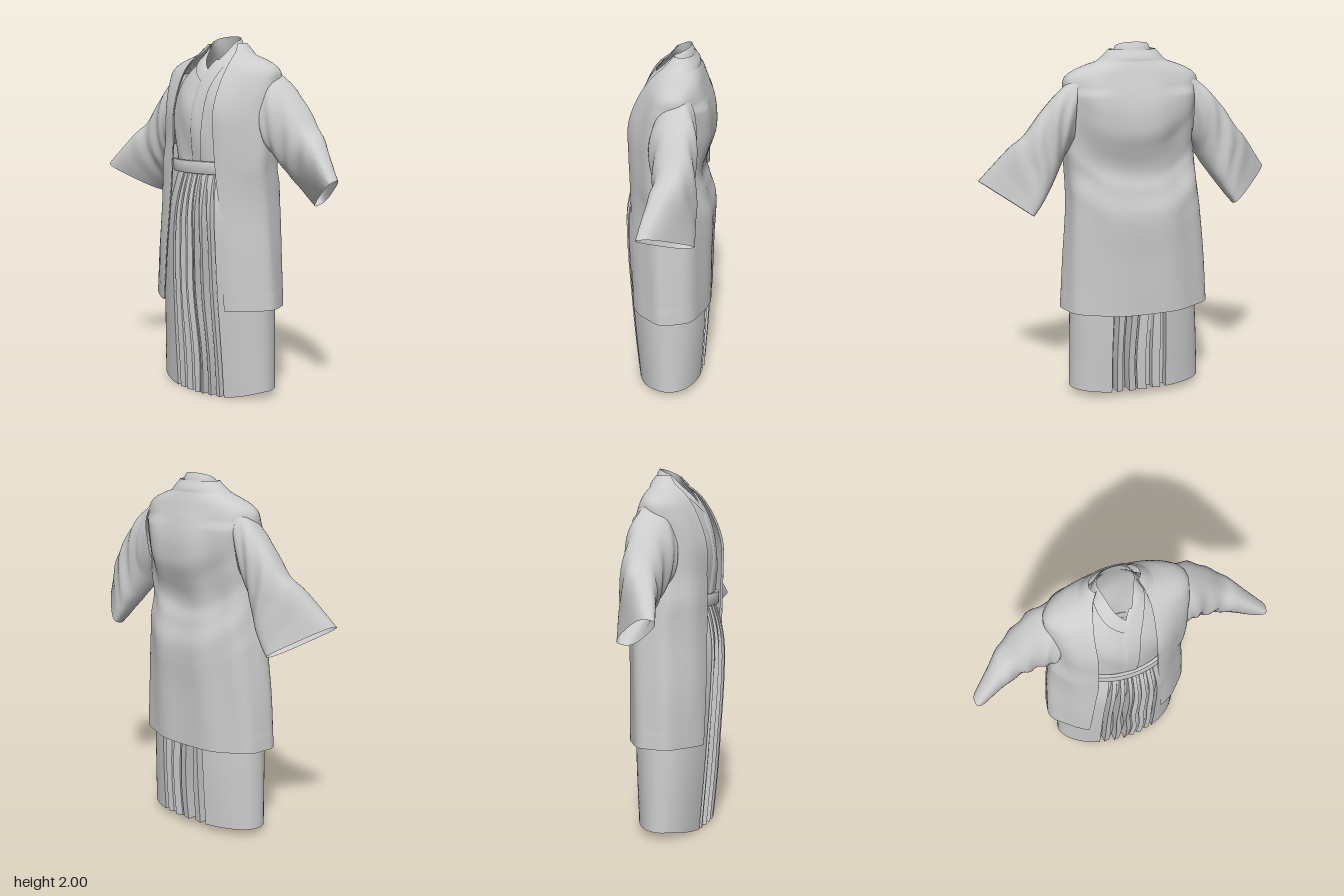
import * as THREE from 'three';
import { toCreasedNormals } from 'three/addons/utils/BufferGeometryUtils.js';

const { sin, cos, abs, sign, pow, min, max, PI, asin } = Math;
const lerp = THREE.MathUtils.lerp;
const smooth = THREE.MathUtils.smoothstep;
const power = (x, e) => sign(x) * pow(abs(x), e);

// smooth lookup in a table of rows [position, value, value, ...]
function table(rows) {
  const n = rows[0].length - 1;
  const curve = new THREE.CubicInterpolant(rows.map(r => r[0]), rows.flatMap(r => r.slice(1)), n);
  return t => Array.from(curve.evaluate(t));
}

// cloth sheet from a rule f(u, v) -> [x, y, z], u and v in 0..1
function sheet(name, nu, nv, f, crease = 0.7) {
  const pos = [], index = [];
  for (let j = 0; j <= nv; j++) for (let i = 0; i <= nu; i++) pos.push(...f(i / nu, j / nv));
  for (let j = 0; j < nv; j++) for (let i = 0; i < nu; i++) {
    const a = j * (nu + 1) + i, b = a + nu + 1;
    index.push(a, a + 1, b + 1, a, b + 1, b);
  }
  const g = new THREE.BufferGeometry();
  g.setAttribute('position', new THREE.Float32BufferAttribute(pos, 3));
  g.setIndex(index);
  const mesh = new THREE.Mesh(toCreasedNormals(g, crease),
    new THREE.MeshStandardMaterial({ color: 0xcccccc, side: THREE.DoubleSide }));
  mesh.name = name;
  return mesh;
}

// point on a squared ellipse; angle 0 is the front, PI/2 is +x
function oval(cx, a, zf, zb, n, t) {
  return [cx + a * power(sin(t), 2 / n), (zf + zb) / 2 + (zf - zb) / 2 * power(cos(t), 2 / n)];
}

// ---- coat: y, centre x, half width, front z, back z, right edge x, left edge x
const COAT_FRONT = 1.85, COAT_BACK = 2.3;
const coat = table([
  [0.5, -0.03, 0.43, 0.237, -0.24, -0.25, 0.2],
  [0.8, -0.03, 0.412, 0.24, -0.243, -0.225, 0.188],
  [1.08, -0.025, 0.388, 0.237, -0.245, -0.199, 0.17],
  [1.2, -0.02, 0.381, 0.234, -0.215, -0.187, 0.155],
  [1.28, -0.015, 0.378, 0.232, -0.185, -0.183, 0.148],
  [1.42, 0, 0.374, 0.234, -0.218, -0.178, 0.14],
  [1.6, 0, 0.374, 0.23, -0.244, -0.175, 0.135],
  [1.75, 0, 0.38, 0.17, -0.212, -0.172, 0.138],
  [1.82, 0, 0.365, 0.125, -0.187, -0.165, 0.14],
  [1.865, 0, 0.29, 0.092, -0.172, -0.154, 0.138],
  [1.9, 0, 0.188, 0.064, -0.155, -0.14, 0.13],
  [1.96, 0, 0.13, 0.01, -0.128, -0.108, 0.106]]);

function coatAngles(y) {
  const [cx, a, , , xr, xl] = coat(y);
  const angle = x => asin(pow(min(0.99, abs(x - cx) / a), COAT_FRONT / 2));
  return [angle(xl), 2 * PI - angle(xr)];
}

function coatPoint(y, t, off = 0) {
  let [cx, a, zf, zb] = coat(y);
  // the deep fold across the back sags in a U
  const x = a * sin(t), back = max(0, -cos(t));
  if (y < 1.75) zb = lerp(zb, coat(max(0.5, y - 1.5 * x * x))[3], back);
  const crumple = smooth(y, 1.0, 1.2) * (1 - smooth(y, 1.5, 1.7)) * back;
  const o = off + 0.005 * sin(9 * t + 2 * y) * (1 - smooth(y, 1.65, 1.9))
    + 0.005 * crumple * sin(26 * (y - 1.8 * x * x) + 3 * x);
  const [px, pz] = oval(cx, a + o, zf + o, zb - o, cos(t) > 0 ? COAT_FRONT : COAT_BACK, t);
  return [px, y + (y < 0.6 ? 0.012 * abs(sin(t)) : 0), pz];
}

// ---- inner robe: y, half width, front z, back z
const robe = table([
  [1.15, 0.28, 0.17, -0.15], [1.3, 0.265, 0.185, -0.14], [1.6, 0.29, 0.19, -0.18],
  [1.75, 0.26, 0.14, -0.17], [1.85, 0.165, 0.085, -0.15], [1.92, 0.108, 0.03, -0.13],
  [2, 0.088, -0.005, -0.11]]);
const neckY = t => cos(t) > 0 ? 1.82 + 0.155 * pow(abs(sin(t)), 0.9) : 1.975 + 0.025 * pow(-cos(t), 0.7);
function robePoint(y, t, off = 0) {
  const [a, zf, zb] = robe(y);
  const o = off + 0.004 * sin(7 * t + 14 * y) * (1 - smooth(y, 1.6, 1.8));
  const [x, z] = oval(0, a + o, zf + o, zb - o, 2.1, t);
  return [x, y, z];
}
function robeFront(x, y, off) {
  return robePoint(y, sign(x) * asin(pow(min(1, abs(x) / robe(y)[0]), 1.05)), off);
}

// ---- wide sleeve: position, top xyz, bottom xyz, half thickness
const sleeve = table([
  [0, 0.31, 1.825, -0.05, 0.33, 1.45, -0.04, 0.11],
  [0.16, 0.405, 1.745, -0.05, 0.37, 1.4, -0.04, 0.13],
  [0.36, 0.51, 1.635, -0.055, 0.405, 1.34, -0.06, 0.115],
  [0.55, 0.605, 1.51, -0.045, 0.45, 1.265, -0.095, 0.105],
  [0.7, 0.675, 1.445, -0.01, 0.49, 1.205, -0.125, 0.093],
  [0.86, 0.76, 1.345, 0.035, 0.535, 1.14, -0.145, 0.073],
  [1, 0.835, 1.255, 0.07, 0.575, 1.09, -0.155, 0.056]]);
const sleeveSide = new THREE.Vector3(-0.1, -0.2, 0.97).normalize();
function makeSleeve(s) {
  return sheet(s > 0 ? 'leftSleeve' : 'rightSleeve', 48, 44, (u, v) => {
    const r = sleeve(v), t = -s * u * 2 * PI;
    const top = new THREE.Vector3(...r.slice(0, 3)), bottom = new THREE.Vector3(...r.slice(3, 6));
    const half = top.clone().sub(bottom).multiplyScalar(0.5);
    // slanting drag folds, calm at the cuff
    const crumple = 0.007 * sin(26 * v + 4 * cos(t)) * abs(sin(t)) * (1 - smooth(v, 0.6, 0.95));
    const p = top.add(bottom).multiplyScalar(0.5)
      .addScaledVector(half, power(cos(t), lerp(1, 0.7, v)))
      .addScaledVector(sleeveSide, power(sin(t), lerp(0.85, 0.65, v)) * (r[6] + crumple));
    return [s * p.x, p.y, p.z];
  }, 1);
}

// ---- trousers: y, right width, left width, front z, back z
const legs = table([
  [0, 0.425, 0.35, 0.187, -0.205], [0.5, 0.402, 0.336, 0.23, -0.23], [0.85, 0.37, 0.322, 0.25, -0.225],
  [1.05, 0.33, 0.3, 0.248, -0.205], [1.18, 0.29, 0.275, 0.222, -0.17], [1.27, 0.27, 0.26, 0.19, -0.145]]);

// knife pleats as [angle, inset]: a broad face, then a sharp tuck
function pleats(count, zone, deep) {
  return Array.from({ length: count }, (_, i) =>
    [[0.02, 0.25], [0.55, 0], [0.62, deep], [0.96, deep * 0.6]].map(([k, d]) => [(i + k) * zone / count, d])).flat();
}
function makeLeg(s) {
  // outline: front pleats, plain side, back pleats, inner wall (angle null)
  const front = 0.5, rear = 0.4;
  const loop = pleats(3, front, 1);
  for (let i = 0; i <= 24; i++) loop.push([lerp(front, PI - rear, i / 24), 0]);
  loop.push(...pleats(2, rear, 1.4).map(([t, d]) => [PI - t, d]).reverse());
  for (let i = 0; i <= 8; i++) loop.push([null, i / 8]);
  loop.push(loop[0]);
  if (s < 0) loop.reverse();
  const n = loop.length - 1;
  return sheet(s > 0 ? 'leftLeg' : 'rightLeg', n, 28, (u, v) => {
    const [t, d] = loop[Math.round(u * n)];
    const y = lerp(t === null ? 0.04 * (1 - d) : 0.04 * smooth(t, 0.35, 1.4), 1.27, v);
    const [wr, wl, zf, zb] = legs(y);
    const low = 1 - smooth(y, 0.3, 1.15);
    const mid = 0.006 + 0.012 * low * sin(y * 7);
    if (t === null) {
      const wave = 0.02 * sin(d * 12 + y * 5) * low * sin(PI * d);
      return [mid + s * 0.006 + wave, y, lerp(zb + 0.03, zf - 0.03, d)];
    }
    const depth = 0.012 + 0.045 * smooth(1.27 - y, 0, 0.5);
    const [x, z] = oval(0, s > 0 ? wl : wr, zf, zb, cos(t) > 0 ? 1.85 : 2.1, t);
    const centre = lerp(mid, 0.01, smooth(abs(x), 0, 0.2));
    return [centre + s * (0.003 + x), y, z * (1 - d * depth / 0.22)];
  }, 0.5);
}

export function createModel() {
  const model = new THREE.Group();
  model.name = 'layeredRobeOutfit';

  // pleated divided trousers
  const trousers = new THREE.Group();
  trousers.name = 'pleatedTrousers';
  trousers.add(makeLeg(1), makeLeg(-1));

  // sash with a rounded band section
  const sash = sheet('sash', 72, 12, (u, v) => {
    const c = v * 2 * PI, o = 0.013 * power(cos(c), 0.5);
    const [x, z] = oval(0, 0.275 + o, 0.2 + o, -0.15 - o, 2.1, u * 2 * PI);
    return [x, 1.285 + 0.036 * power(sin(c), 0.5), z];
  });

  // crossed inner robe with its neckband and overlapping front edge
  const innerRobe = new THREE.Group();
  innerRobe.name = 'innerRobe';
  innerRobe.add(
    sheet('robeBody', 72, 36, (u, v) => robePoint(lerp(1.2, neckY(u * 2 * PI), v), u * 2 * PI)),
    sheet('robeNeckband', 72, 5, (u, v) => {
      const t = u * 2 * PI;
      return robePoint(neckY(t) - 0.075 * (1 - v), t, 0.008 * min(1, 3 * (1 - v)));
    }));
  const edge = table([[1.3, -0.05, 0.03], [1.6, -0.04, 0.05], [1.72, -0.032, 0.062], [1.84, 0.01, 0.1], [1.88, 0.036, 0.11]]);
  innerRobe.add(sheet('robeOverlap', 6, 30, (u, v) => {
    const y = lerp(1.3, 1.87, v), [x0, x1] = edge(y);
    return robeFront(lerp(x0, x1, u), y, u === 0 ? 0 : 0.009);
  }));

  // open coat with front bands, sleeves and a collar
  const openCoat = new THREE.Group();
  openCoat.name = 'openCoat';
  openCoat.add(sheet('coatBody', 110, 70, (u, v) => {
    const y = lerp(0.5, 1.96, v), [t0, t1] = coatAngles(y);
    return coatPoint(y, lerp(t0, t1, u));
  }, 1));
  for (const s of [1, -1]) {
    openCoat.add(sheet(s > 0 ? 'leftFrontBand' : 'rightFrontBand', 8, 60, (u, v) => {
      const y = lerp(0.5, 1.96, v), w = s > 0 ? u : 1 - u;
      const t = coatAngles(y)[s > 0 ? 0 : 1];
      const wide = 0.085 / max(0.2, coat(y)[1]);
      // the first strip turns under the front edge
      if (w < 0.1) return coatPoint(y, t + s * 0.04, -0.012);
      return coatPoint(y, t + s * wide * (w - 0.125), 0.004 * (1 - w));
    }));
    openCoat.add(makeSleeve(s));
  }
  openCoat.add(sheet('coatCollar', 48, 6, (u, v) => {
    const y = lerp(1.9, 1.96, v), [t0, t1] = coatAngles(y);
    return coatPoint(y, lerp(t0, t1, u), 0.008 * sin(PI * min(1, v + 0.15)));
  }));

  model.add(trousers, sash, innerRobe, openCoat);
  return model;
}
